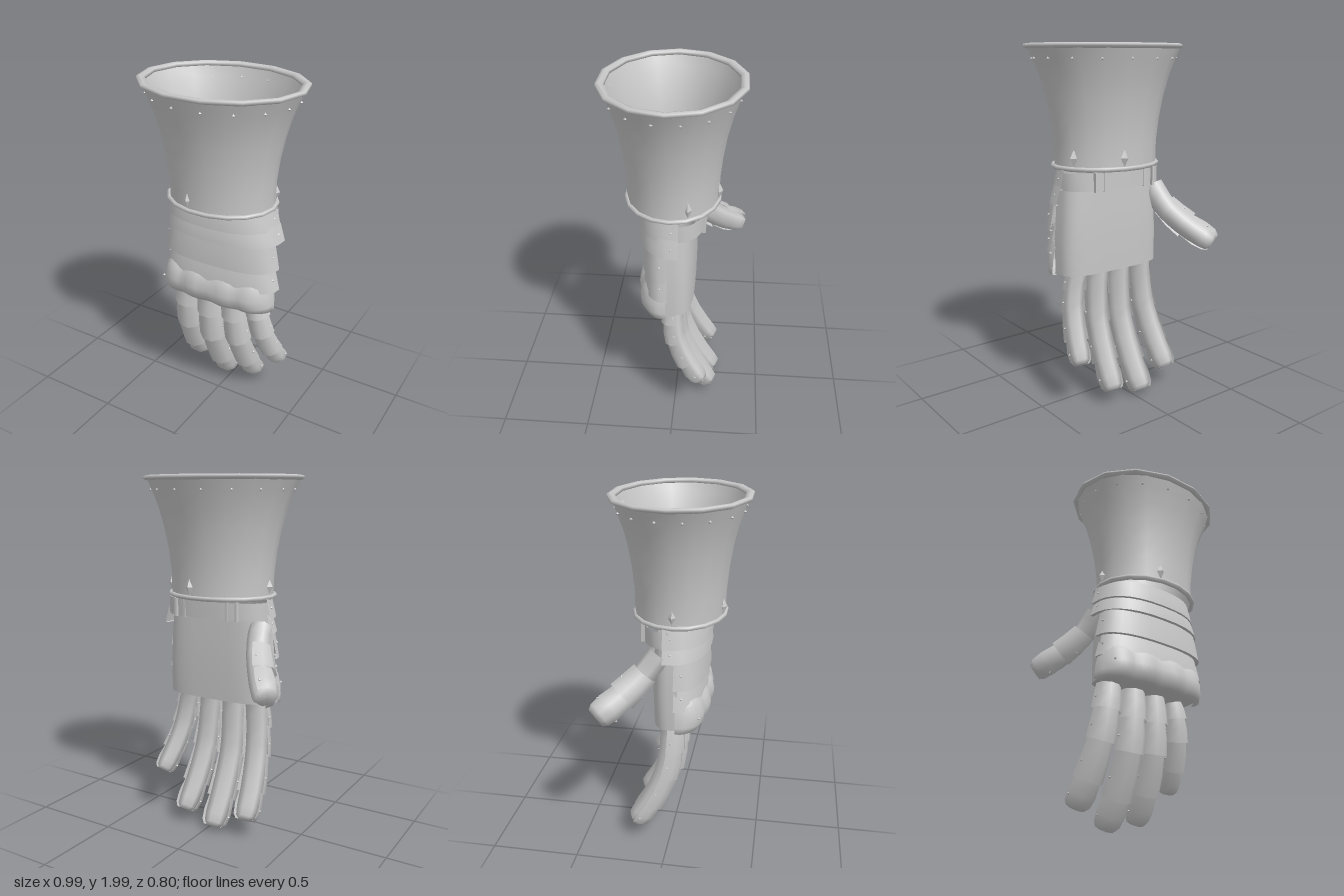
import * as THREE from 'three';

const steel = new THREE.MeshStandardMaterial({ color: 0xc8c8c8, side: THREE.DoubleSide });
steel.name = 'steel grey';
const V = (x, y, z) => new THREE.Vector3(x, y, z);

// Skin a list of point rings; closed rings wrap around
function loft(rings, closed) {
  const n = rings[0].length, idx = [];
  const pos = rings.flat().flatMap((p) => [p.x, p.y, p.z]);
  for (let i = 0; i < rings.length - 1; i++) {
    for (let j = 0; j < (closed ? n : n - 1); j++) {
      const k = (j + 1) % n, a = i * n, b = a + n;
      idx.push(a + j, a + k, b + j, a + k, b + k, b + j);
    }
  }
  const g = new THREE.BufferGeometry();
  g.setAttribute('position', new THREE.Float32BufferAttribute(pos, 3));
  g.setIndex(idx);
  g.computeVertexNormals();
  return g;
}

// Horizontal (super)elliptic arc from angle t0 to t1; pow < 1 squares it off
function arc(cx, y, cz, a, b, n, t0 = 0, t1 = Math.PI * 2, pow = 1) {
  const full = t1 - t0 > 6.28, pts = [];
  const sp = (v) => Math.sign(v) * Math.pow(Math.abs(v) < 1e-6 ? 0 : Math.abs(v), pow);
  for (let i = 0; i < (full ? n : n + 1); i++) {
    const t = t0 + ((t1 - t0) * i) / n;
    pts.push(V(cx + a * sp(Math.cos(t)), y, cz + b * sp(Math.sin(t))));
  }
  return pts;
}

function add(parent, name, geo) {
  const m = new THREE.Mesh(geo, steel);
  m.name = name;
  parent.add(m);
  return m;
}

function rivet(parent, x, y, z) {
  add(parent, 'rivet', new THREE.OctahedronGeometry(0.009)).position.set(x, y, z);
}

// Direction frame at u on a curve, with n facing outwards along the hint
function frame(curve, u, hint) {
  const p = curve.getPoint(u), d = curve.getTangent(u);
  const n = hint.clone().addScaledVector(d, -hint.dot(d)).normalize();
  return { p, d, n, s: n.clone().cross(d) };
}

function ringAt(f, r, n, t0, t1, closed) {
  const pts = [];
  for (let i = 0; i < (closed ? n : n + 1); i++) {
    const t = t0 + ((t1 - t0) * i) / n;
    pts.push(f.p.clone().addScaledVector(f.s, r * Math.sin(t)).addScaledVector(f.n, r * Math.cos(t)));
  }
  return pts;
}

// Gloved finger with overlapping armour plates between its joints
function finger(name, joints, hint, r, firstPlate = 0) {
  const g = new THREE.Group();
  g.name = name;
  const curve = new THREE.CatmullRomCurve3(joints.map((j) => V(...j)));
  const profile = [[0, 1], [0.12, 1], [0.25, 1], [0.4, 1], [0.5, 1], [0.62, 1], [0.75, 1], [0.9, 0.96], [0.97, 0.85], [1, 0.6], [1, 0.01]];
  const rings = profile.map(([u, k]) => ringAt(frame(curve, u, hint), r * k * 1.04, 6, 0, Math.PI * 2, true));
  add(g, 'gloveFinger', loft(rings, true));
  const count = joints.length - 1;
  for (let i = firstPlate; i < count; i++) {
    const last = i === count - 1;
    const steps = last ? [[0, 1.18], [0.5, 1.32], [0.85, 1.2], [1, 0.92], [1, 0.1]] : [[-0.06, 1.18], [0.5, 1.33], [1.03, 1.42]];
    const plate = steps.map(([v, k]) => {
      const u = Math.min(1, Math.max(0, (i + v) / count));
      return ringAt(frame(curve, u, hint), r * k, 5, -1.75, 1.75, false);
    });
    add(g, 'fingerPlate', loft(plate, false));
    const f = frame(curve, (i + 0.6) / count, hint);
    for (const sgn of [-1, 1]) {
      const q = f.p.clone().addScaledVector(f.s, sgn * r * 1.28).addScaledVector(f.n, r * 0.1);
      add(g, 'fingerRivet', new THREE.OctahedronGeometry(0.008)).position.copy(q);
    }
  }
  return g;
}

export function createModel() {
  const root = new THREE.Group();
  root.name = 'gauntlet';

  // Flared cuff: y, centre x, centre z, half width, half depth
  const cuff = new THREE.Group();
  cuff.name = 'cuff';
  root.add(cuff);
  const cuffRows = [
    [1.35, 0.037, 0.018, 0.3, 0.25], [1.48, 0.036, 0.02, 0.303, 0.253], [1.6, 0.036, 0.02, 0.318, 0.265],
    [1.72, 0.036, 0.02, 0.343, 0.284], [1.83, 0.036, 0.02, 0.375, 0.311], [1.92, 0.036, 0.02, 0.412, 0.341], [1.985, 0.036, 0.02, 0.443, 0.362],
  ];
  add(cuff, 'cuffShell', loft(cuffRows.map(([y, x, z, a, b]) => arc(x, y, z, a, b, 18)), true));

  // Rolled rims at the top and bottom edges
  const rim = (name, y, cx, cz, a, b, w, h, n) => {
    const section = [[0, -h], [w, -h * 0.3], [w * 0.8, h * 0.7], [0, h], [-w, h * 0.5], [-w, -h * 0.7], [0, -h]];
    add(cuff, name, loft(section.map(([dr, dy]) => arc(cx, y + dy, cz, a + dr, b + dr, n)), true));
  };
  rim('topRim', 1.986, 0.035, 0.02, 0.441, 0.364, 0.022, 0.014, 14);
  rim('bottomRim', 1.352, 0.037, 0.02, 0.308, 0.25, 0.014, 0.013, 18);
  for (let i = 0; i < 16; i++) {
    const t = ((i + 0.5) / 16) * Math.PI * 2;
    rivet(cuff, 0.036 + 0.416 * Math.cos(t), 1.922, 0.02 + 0.345 * Math.sin(t));
  }
  // Small pointed studs above the bottom rim
  for (const t of [1.8, 3.14, 4.9, 5.9]) {
    const stud = add(cuff, 'pointedStud', new THREE.OctahedronGeometry(1));
    stud.scale.set(0.026, 0.05, 0.022);
    stud.position.set(0.037 + 0.296 * Math.cos(t), 1.41, 0.018 + 0.248 * Math.sin(t));
  }

  // Overlapping lames over the back of the hand
  const hand = new THREE.Group();
  hand.name = 'handArmour';
  root.add(hand);
  // top y, bottom y, side z, centre x, top and bottom half width, top and bottom front z
  const lames = [
    [1.35, 1.24, -0.03, 0.036, 0.31, 0.336, 0.185, 0.2],
    [1.26, 1.16, -0.03, 0.046, 0.325, 0.355, 0.18, 0.197],
    [1.18, 1.01, 0.03, 0.047, 0.325, 0.357, 0.168, 0.186],
    [1.03, 0.885, 0.03, 0.05, 0.325, 0.36, 0.155, 0.18],
  ];
  for (const [y0, y1, cz, cx, a0, a1, f0, f1] of lames) {
    const rows = [0, 0.5, 0.93, 1].map((k) => {
      const y = y0 + (y1 - y0) * k, a = a0 + (a1 - a0) * k, f = f0 + (f1 - f0) * Math.sqrt(k);
      return arc(cx, y, cz, a, f - cz, 16, 0, Math.PI, 0.8);
    });
    add(hand, 'handLame', loft(rows, false));
    const lip = [0, 0.02].map((d) => arc(cx, y1, cz, a1 - d, f1 - cz - d, 16, 0, Math.PI, 0.8));
    add(hand, 'lameLip', loft(lip, false));
    for (const s of [-1, 1]) rivet(hand, cx + s * (a0 + a1) * 0.492, (y0 + y1) / 2, cz + 0.04);
  }

  // Knuckle plate with four soft bulges
  const knuckle = [[0.93, 0.315, 0.15], [0.9, 0.33, 0.185], [0.84, 0.345, 0.2], [0.79, 0.35, 0.195], [0.755, 0.352, 0.165], [0.75, 0.32, 0.13]];
  add(hand, 'knucklePlate', loft(knuckle.map(([y, a, f]) => {
    const row = arc(0.036, y, 0.04, a, f - 0.04, 32, 0, Math.PI, 0.7);
    for (const p of row) {
      const w = Math.abs(Math.sin(((p.x - 0.036 + 0.35) / 0.7) * Math.PI * 4));
      if (p.z > 0.1) { p.z += 0.014 * (w - 0.4); p.y += y > 0.89 ? 0.01 * w : 0; }
    }
    return row;
  }), false));
  rivet(hand, -0.27, 0.84, 0.165);
  rivet(hand, 0.31, 0.84, 0.165);

  // Palm of the glove, open above and closed around the fingers
  const palmRows = [[1.23, 0.305, 0.155], [1.1, 0.315, 0.158], [0.95, 0.325, 0.16], [0.76, 0.325, 0.155]];
  add(root, 'palm', loft(palmRows.map(([y, a, b]) => arc(0.036, y, 0.05, a, b, 20, Math.PI, Math.PI * 2, 0.55)), false));
  add(root, 'palmFloor', loft([arc(0.036, 0.762, 0.03, 0.325, 0.135, 24, 0, Math.PI * 2, 0.6), arc(0.036, 0.762, 0.03, 0.002, 0.002, 24)], true));

  // Wrist strap with two keepers
  const strap = new THREE.Group();
  strap.name = 'wristStrap';
  root.add(strap);
  add(strap, 'strapBand', loft([1.33, 1.235].map((y) => arc(0.036, y, 0, 0.315, 0.17, 18, Math.PI, Math.PI * 2, 0.8)), false));
  for (const x of [-0.13, 0.2]) {
    for (const dx of [-0.03, 0.03]) {
      add(strap, 'strapKeeper', new THREE.BoxGeometry(0.014, 0.105, 0.02)).position.set(x + dx, 1.283, -0.156);
    }
  }

  // Four fingers, each listed joint by joint from the knuckle
  const front = V(0, 0, 1);
  root.add(finger('indexFinger', [[-0.2, 0.75, 0.005], [-0.21, 0.61, 0], [-0.22, 0.45, -0.03], [-0.237, 0.26, -0.115], [-0.247, 0.125, -0.205]], front, 0.06));
  root.add(finger('middleFinger', [[-0.045, 0.75, 0.01], [-0.045, 0.59, 0.005], [-0.045, 0.42, -0.02], [-0.046, 0.19, -0.125], [-0.048, 0.043, -0.222]], front, 0.062));
  root.add(finger('ringFinger', [[0.105, 0.75, 0.005], [0.115, 0.6, 0], [0.125, 0.44, -0.025], [0.138, 0.24, -0.115], [0.15, 0.095, -0.212]], front, 0.058));
  root.add(finger('littleFinger', [[0.25, 0.75, 0], [0.27, 0.66, 0], [0.29, 0.54, -0.02], [0.315, 0.4, -0.085], [0.338, 0.285, -0.165]], front, 0.052));

  // Thumb, angled out and back from the palm
  root.add(finger('thumb', [[-0.25, 1.2, -0.05], [-0.28, 1.09, -0.13], [-0.35, 0.985, -0.235], [-0.447, 0.89, -0.36]], V(-0.6, 0.3, 0.4), 0.063, 1));

  return root;
}
